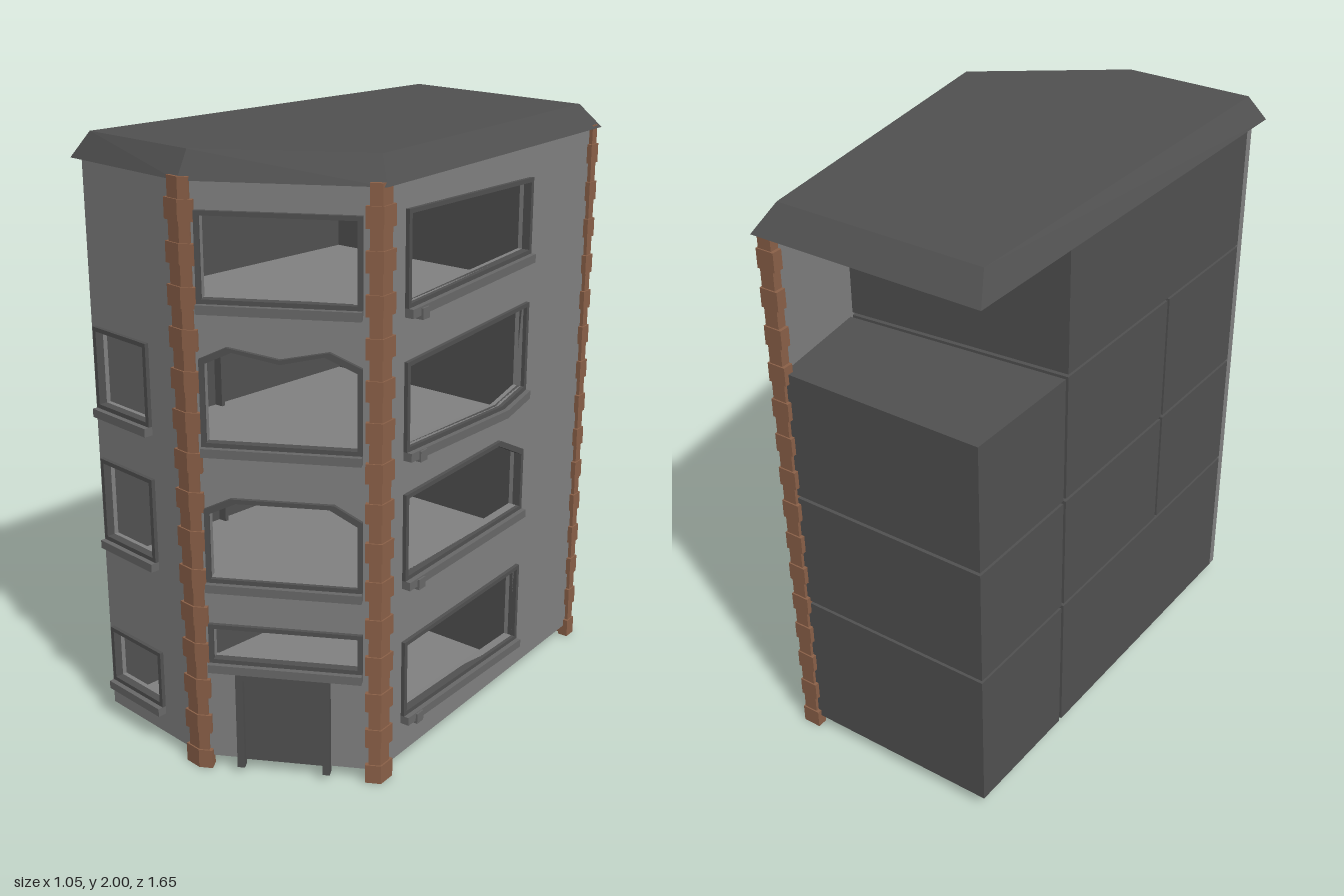
import * as THREE from 'three';
import { ConvexGeometry } from 'three/addons/geometries/ConvexGeometry.js';

// Footprint corners as [x, z]
const A = [-0.485, 0.745], B = [-0.02, 0.8], C = [0.49, 0.522], D = [0.445, -0.72], E = [-0.3, -0.79];

const mat = (name, color, side = THREE.FrontSide) => {
  const m = new THREE.MeshStandardMaterial({ color, side });
  m.name = name;
  return m;
};

export function createModel() {
  const root = new THREE.Group();
  root.name = 'cornerBuilding';
  const plaster = mat('plaster', 0x808080);
  const dark = mat('darkGrey', 0x505050);
  const shell = mat('roomGrey', 0x505050, THREE.DoubleSide);
  const trim = mat('sillGrey', 0x686868);
  const brick = mat('brick', 0x8a6048);

  const add = (parent, name, geo, material) => {
    const m = new THREE.Mesh(geo, material);
    m.name = name;
    parent.add(m);
    return m;
  };
  const shapeOf = pts => new THREE.Shape(pts.map(p => new THREE.Vector2(p[0], p[1])));
  const extrude = (shape, depth, z = 0) =>
    new THREE.ExtrudeGeometry(shape, { depth, bevelEnabled: false }).translate(0, 0, z);
  // Horizontal slab from [x, z] points
  const slab = (pts, y, h) =>
    extrude(shapeOf(pts.map(([x, z]) => [x, -z])), h).rotateX(-Math.PI / 2).translate(0, y, 0);

  // Street wall with window openings; each window is { bottom, top } given left to right,
  // with the first value measured along world axis `axis` (0 = x, 1 = z)
  function streetWall(name, P, Q, axis, windows, brackets) {
    const g = new THREE.Group();
    g.name = name;
    const dx = Q[0] - P[0], dz = Q[1] - P[1], len = Math.hypot(dx, dz);
    g.position.set(P[0], 0, P[1]);
    g.rotation.y = -Math.atan2(dz, dx);
    const along = v => (v - P[axis]) / (Q[axis] - P[axis]) * len;
    const wall = shapeOf([[0, 0.04], [len, 0.04], [len, 1.92], [0, 1.92]]);
    for (const w of windows) {
      const bottom = w.bottom.map(([s, y]) => [along(s), y]);
      const top = w.top.map(([s, y]) => [along(s), y]);
      const outline = [...bottom, ...top.slice().reverse()];
      const cx = (bottom[0][0] + bottom.at(-1)[0]) / 2, cy = (bottom[0][1] + top[0][1]) / 2;
      const inner = outline.map(([x, y]) => {
        const d = x - cx;
        return [Math.abs(d) < 0.03 ? x : x - Math.sign(d) * 0.015, y - Math.sign(y - cy) * 0.014];
      });
      wall.holes.push(shapeOf(inner));
      // Frame
      const frame = shapeOf(outline);
      frame.holes.push(shapeOf(inner));
      add(g, 'windowFrame', extrude(frame, 0.028, -0.015), dark);
      // Sill follows the lower edge
      const sill = [...bottom, ...bottom.slice().reverse().map(([x, y]) => [x, y - 0.028])];
      add(g, 'windowSill', extrude(shapeOf(sill), 0.035, -0.005), trim);
      if (brackets) {
        const b = new THREE.BoxGeometry(0.035, 0.035, 0.04);
        add(g, 'sillBracket', b.translate(bottom[0][0] + 0.06, bottom[0][1] - 0.022, 0.016), trim);
      }
    }
    add(g, name + 'Panel', extrude(wall, 0.03, -0.03), plaster);
    root.add(g);
    return { g, along };
  }
  const rect = (a, b, y0, y1, y2 = y0, y3 = y1) => ({ bottom: [[a, y0], [b, y2]], top: [[a, y1], [b, y3]] });

  streetWall('leftFrontWall', A, B, 0, [
    rect(-0.465, -0.2, 0.14, 0.34),
    rect(-0.465, -0.2, 0.665, 0.95),
    rect(-0.465, -0.2, 1.125, 1.395),
  ]);

  const entrance = streetWall('entranceWall', B, C, 0, [
    rect(0.015, 0.445, 0.385, 0.52),
    { bottom: [[0.015, 0.665], [0.445, 0.665]], top: [[0.015, 0.91], [0.09, 0.95], [0.37, 0.95], [0.445, 0.9]] },
    { bottom: [[0.015, 1.115], [0.445, 1.115]], top: [[0.015, 1.39], [0.09, 1.43], [0.23, 1.4], [0.36, 1.43], [0.445, 1.385]] },
    rect(0.015, 0.445, 1.56, 1.835),
  ]);

  streetWall('sideWall', C, D, 1, [
    rect(0.4, -0.31, 0.18, 0.445, 0.155, 0.445),
    { bottom: [[0.4, 0.66], [-0.31, 0.66]], top: [[0.4, 0.95], [-0.16, 0.955], [-0.31, 0.88]] },
    { bottom: [[0.4, 1.09], [-0.17, 1.065], [-0.31, 1.095]], top: [[0.4, 1.375], [-0.31, 1.4]] },
    rect(0.4, -0.31, 1.54, 1.835, 1.565, 1.815),
  ], true);

  // Door with posts and lintel
  const d0 = entrance.along(0.09), d1 = entrance.along(0.355);
  add(entrance.g, 'door', extrude(shapeOf([[d0, 0.04], [d1, 0.04], [d1, 0.34], [d0, 0.34]]), 0.006), dark);
  for (const s of [d0 + 0.012, d1 - 0.012])
    add(entrance.g, 'doorPost', new THREE.BoxGeometry(0.024, 0.33, 0.03).translate(s, 0.185, 0.012), dark);
  add(entrance.g, 'doorLintel', new THREE.BoxGeometry(d1 - d0, 0.02, 0.03).translate((d0 + d1) / 2, 0.345, 0.012), dark);

  // Room shell: floor, ceiling and the walls of the first `walls` edges
  function room(name, pts, walls, y0, y1) {
    const g = new THREE.Group();
    g.name = name;
    const flat = y => new THREE.ShapeGeometry(shapeOf(pts.map(([x, z]) => [x, -z]))).rotateX(-Math.PI / 2).translate(0, y, 0);
    add(g, 'roomBase', flat(y0), shell);
    add(g, 'roomCeiling', flat(y1), shell);
    add(g, 'roomFloor', flat(y0 + 0.006), plaster);
    const pos = [];
    for (let i = 0; i < walls; i++) {
      const [a, b] = [pts[i], pts[(i + 1) % pts.length]];
      const q = [[a[0], y0, a[1]], [b[0], y0, b[1]], [b[0], y1, b[1]], [a[0], y1, a[1]]];
      for (const k of [0, 1, 2, 0, 2, 3]) pos.push(...q[k]);
    }
    const geo = new THREE.BufferGeometry();
    geo.setAttribute('position', new THREE.Float32BufferAttribute(pos, 3));
    geo.computeVertexNormals();
    add(g, 'roomWalls', geo, shell);
    root.add(g);
  }

  // Point on the blind side, 0 at the back corner, moved inward by `inset`
  const blind = (t, inset = 0) => [E[0] + (A[0] - E[0]) * t + inset, E[1] + (A[1] - E[1]) * t];
  const storeys = [[0.04, 0.553], [0.565, 0.985], [0.997, 1.45], [1.46, 1.92]];
  storeys.forEach(([y0, y1], i) => {
    // Middle storeys have a joint in the blind wall
    const joint = i === 1 || i === 2 ? [blind(0.674), blind(0.674, 0.03), blind(0.682, 0.03), blind(0.682)] : [];
    const side = [[0.435, -0.325], blind(0.296), ...joint, blind(0.985)];
    room('frontRoom', [...side, [-0.02, 0.772], [0.464, 0.505]], side.length - 1, y0, y1);
    // Rear rooms stop below the top storey, leaving a terrace
    if (i < 3) room('rearRoom', [[0.425, -0.722], E, blind(0.287), [0.43, -0.338]], 4, y0, y1);
  });

  // Brick corner stones, alternating long and short legs
  function quoin(name, prev, c, next, lu, lv) {
    const g = new THREE.Group();
    g.name = name;
    const V = p => new THREE.Vector2(p[0], p[1]);
    const o = V(c), u = V(prev).sub(o).normalize(), v = V(next).sub(o).normalize();
    const nu = new THREE.Vector2(-u.y, u.x), nv = new THREE.Vector2(v.y, -v.x);
    if (nu.dot(v) > 0) nu.negate();
    if (nv.dot(u) > 0) nv.negate();
    const bis = nu.clone().add(nv).divideScalar(1 + nu.dot(nv));
    const n = 30, h = 1.93 / n;
    for (let i = 0; i < n; i++) {
      const k = i % 2 ? 0.011 : 0, t = i % 2 ? 0.012 : 0.017;
      const at = (dir, l, nrm, off) => o.clone().addScaledVector(dir, l).addScaledVector(nrm, off).toArray();
      const pts = [
        o.clone().addScaledVector(bis, t).toArray(),
        at(v, lv - k, nv, t), at(v, lv - k, nv, -0.02),
        o.clone().addScaledVector(bis, -0.02).toArray(),
        at(u, lu - k, nu, -0.02), at(u, lu - k, nu, t),
      ];
      add(g, 'cornerStone', slab(pts, i * h, h), brick);
    }
    root.add(g);
  }
  quoin('frontQuoin', A, B, C, 0.055, 0.04);
  quoin('sideQuoin', B, C, D, 0.042, 0.052);
  quoin('rearQuoin', C, D, E, 0.032, 0.05);

  // Roof with sloped edges
  const eaves = [[-0.34, -0.83], [0.46, -0.755], [0.51, 0.52], [-0.02, 0.81], [-0.53, 0.75]];
  const ridge = [[-0.305, -0.75], [0.413, -0.68], [0.455, 0.47], [-0.03, 0.755], [-0.475, 0.715]];
  const at = (ring, y) => ring.map(([x, z]) => new THREE.Vector3(x, y, z));
  add(root, 'roof', new ConvexGeometry([...at(eaves, 1.918), ...at(ridge, 2)]), dark);

  return root;
}
